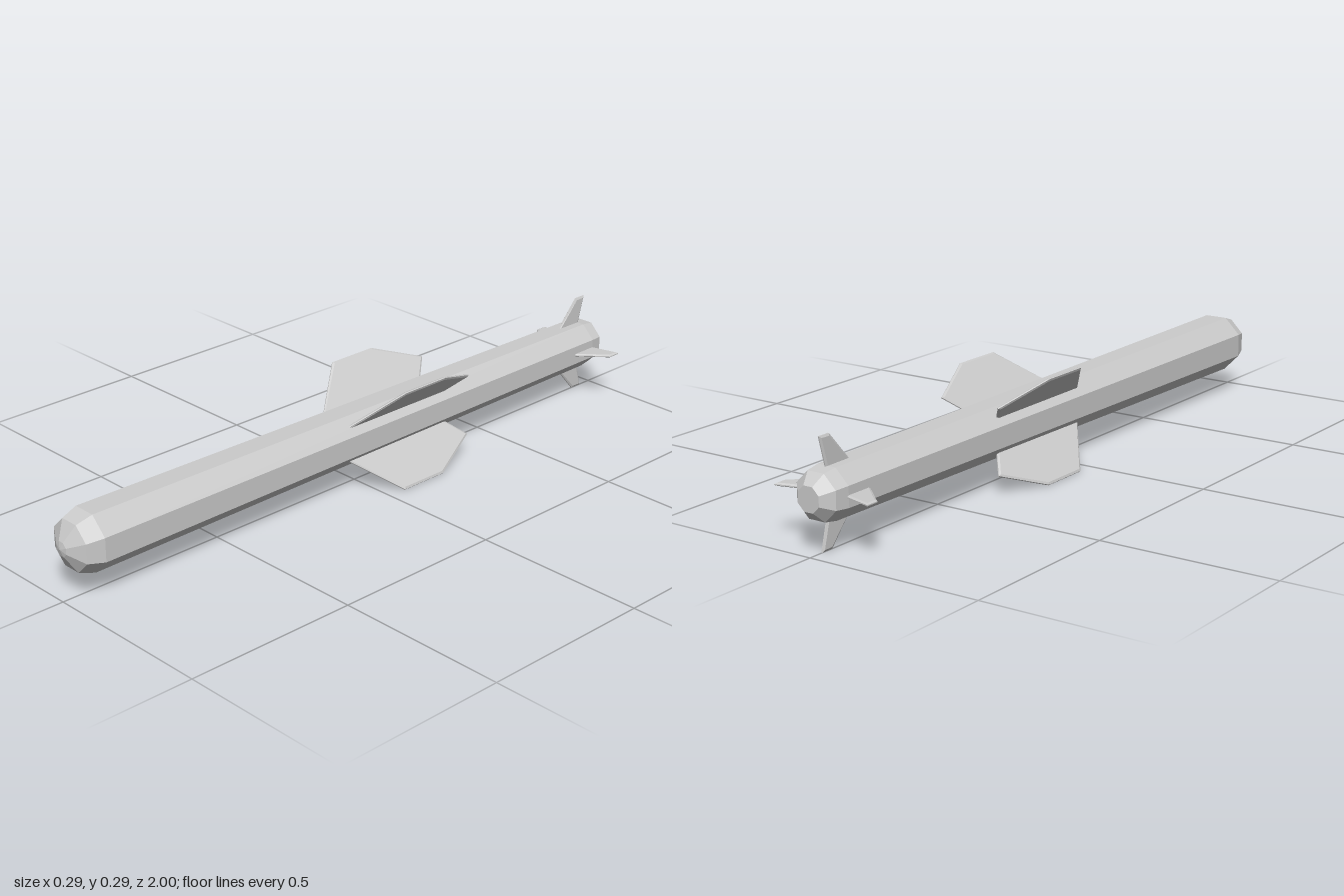
import * as THREE from 'three';

const AXIS_Y = 0.148;

// Thin bevelled plate; outline points are [distance from axis, z]
function plate(outline) {
  const shape = new THREE.Shape(outline.map(([r, z]) => new THREE.Vector2(r, z)));
  const geo = new THREE.ExtrudeGeometry(shape, {
    depth: 0.003, bevelEnabled: true, bevelThickness: 0.003,
    bevelSize: 0.006, bevelOffset: -0.006, bevelSegments: 1,
  });
  geo.translate(0, 0, -0.0015);
  geo.rotateX(Math.PI / 2); // outline lies in the x-z plane
  return geo;
}

export function createModel() {
  const model = new THREE.Group();
  model.name = 'missile';
  const grey = new THREE.MeshStandardMaterial({ color: 0xcccccc, flatShading: true });

  // Eight-sided body with a slight taper; profile is [half width across flats, z]
  const profile = [
    [0, -1], [0.033, -1], [0.061, -0.97], [0.067, -0.93],
    [0.081, 0.92], [0.066, 0.967], [0.02, 0.995], [0, 1],
  ].map(([r, z]) => new THREE.Vector2(r / Math.cos(Math.PI / 8), z));
  const bodyGeo = new THREE.LatheGeometry(profile, 8, Math.PI / 8);
  bodyGeo.rotateX(Math.PI / 2);
  const body = new THREE.Mesh(bodyGeo, grey);
  body.name = 'body';
  body.position.y = AXIS_Y;
  model.add(body);

  // Four copies of a plate spread around the body axis
  const addRing = (name, geo, startAngle) => {
    const ring = new THREE.Group();
    ring.name = name + 's';
    ring.position.y = AXIS_Y;
    for (let i = 0; i < 4; i++) {
      const mesh = new THREE.Mesh(geo, grey);
      mesh.name = name + (i + 1);
      mesh.rotation.z = startAngle + (i * Math.PI) / 2;
      ring.add(mesh);
    }
    model.add(ring);
  };

  // Main wings on the diagonals
  addRing('wing', plate([
    [0.05, 0.09], [0.206, -0.055], [0.206, -0.205], [0.13, -0.358], [0.05, -0.29],
  ]), Math.PI / 4);

  // Tail fins, upright and level
  addRing('tailFin', plate([
    [0.045, -0.83], [0.146, -0.92], [0.146, -0.957], [0.045, -0.93],
  ]), 0);

  return model;
}
